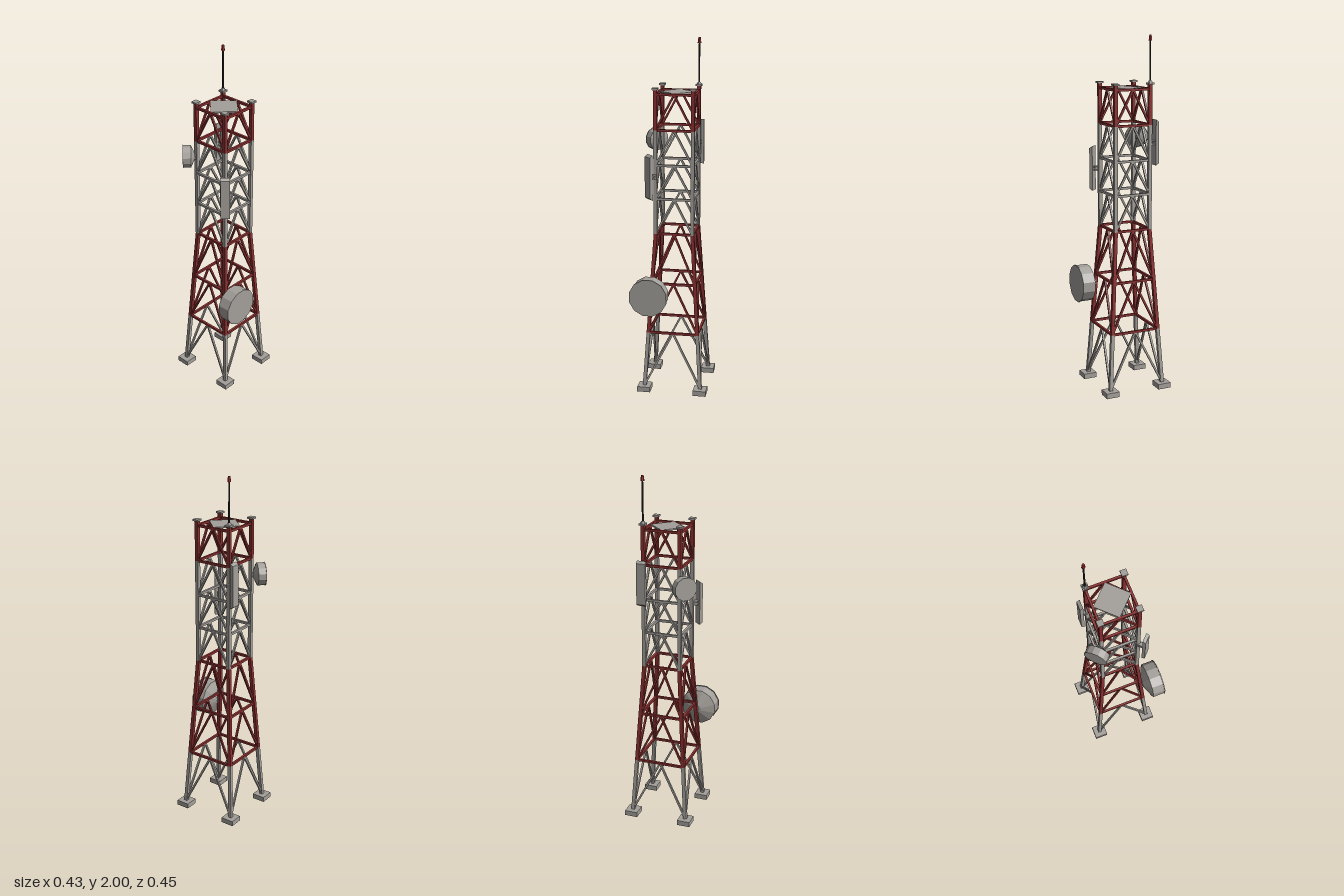
import * as THREE from 'three';

const mat = (name, color) => Object.assign(new THREE.MeshStandardMaterial({ color }), { name });

export function createModel() {
  const steel = mat('grey steel', 0xa39f9a);
  const red = mat('red paint', 0x8a3030);
  const dark = mat('dark mast', 0x2b2826);
  const beacon = mat('beacon red', 0x9c2a2a);

  const root = new THREE.Group();
  root.name = 'latticeTower';
  const tower = new THREE.Group();
  tower.name = 'towerFrame';
  tower.position.set(0.0165, 0, -0.023);
  root.add(tower);

  const V = (x, y, z) => new THREE.Vector3(x, y, z);
  const add = (parent, name, geo, material, x = 0, y = 0, z = 0) => {
    const m = new THREE.Mesh(geo, material);
    m.name = name;
    m.position.set(x, y, z);
    parent.add(m);
    return m;
  };
  const flat = (geo) => {
    const g = geo.index ? geo.toNonIndexed() : geo;
    g.computeVertexNormals();
    return g;
  };
  // Square bar between two points
  const bar = (parent, name, a, b, w, h, material, up) => {
    const m = add(parent, name, new THREE.BoxGeometry(w, h, a.distanceTo(b)), material);
    m.position.copy(a).add(b).multiplyScalar(0.5);
    m.quaternion.setFromRotationMatrix(new THREE.Matrix4().lookAt(b, a, up));
    return m;
  };

  // Half width of the tower: tapered below, straight above
  const half = (y) => (y < 0.93 ? 0.162 + (0.104 - 0.162) * (y - 0.03) / 0.9 : 0.104);
  const levels = [0.03, 0.35, 0.64, 0.93, 1.13, 1.32, 1.515, 1.71];
  const panelPaint = [steel, red, red, steel, steel, steel, red];
  const ringPaint = [null, red, red, red, steel, steel, red, red];
  const corners = [[1, 1], [1, -1], [-1, -1], [-1, 1]];
  const up = V(0, 1, 0);

  // Footings, leg sections and leg caps
  for (const [sx, sz] of corners) {
    add(tower, 'footing', new THREE.BoxGeometry(0.075, 0.03, 0.077), steel, sx * 0.162, 0.015, sz * 0.162);
    for (let i = 0; i < 7; i++) {
      const y0 = levels[i], y1 = i === 6 ? 1.736 : levels[i + 1];
      bar(tower, 'leg', V(sx * half(y0), y0, sz * half(y0)), V(sx * half(y1), y1, sz * half(y1)),
        0.02, 0.02, panelPaint[i], V(0, 0, 1));
    }
    add(tower, 'legCap', new THREE.BoxGeometry(0.034, 0.01, 0.034), steel, sx * 0.104, 1.74, sz * 0.104);
  }

  // Horizontal rings and inverted-V braces on each of the four faces
  for (let f = 0; f < 4; f++) {
    const [ax, az] = corners[f], [bx, bz] = corners[(f + 1) % 4];
    const nx = (ax + bx) / 2, nz = (az + bz) / 2;
    for (let i = 1; i < levels.length; i++) {
      const y0 = levels[i - 1], y1 = levels[i], h0 = half(y0), h1 = half(y1);
      bar(tower, 'crossbar', V(ax * h1, y1, az * h1), V(bx * h1, y1, bz * h1), 0.013, 0.013, ringPaint[i], up);
      const apex = V(nx * h1, y1, nz * h1);
      for (const [cx, cz] of [corners[f], corners[(f + 1) % 4]]) {
        bar(tower, 'diagonalBrace', V(cx * h0, y0, cz * h0), apex, 0.011, 0.011, panelPaint[i - 1], V(nx, 0, nz));
      }
    }
  }

  // Diamond platform between the midpoints of the top ring
  add(tower, 'topPlatform', new THREE.BoxGeometry(0.144, 0.008, 0.144), steel, 0, 1.712, 0).rotation.y = Math.PI / 4;

  // Lightning mast with beacon
  const mx = 0.104, mz = -0.104;
  add(tower, 'mastBase', flat(new THREE.CylinderGeometry(0.009, 0.016, 0.012, 6)), steel, mx, 1.75, mz);
  add(tower, 'mast', flat(new THREE.CylinderGeometry(0.0045, 0.0055, 0.225, 6)), dark, mx, 1.86, mz);
  add(tower, 'beacon', flat(new THREE.CylinderGeometry(0.007, 0.011, 0.03, 6)), beacon, mx, 1.985, mz);

  // Pair of bracket bars running from a leg out to a device (local +z is outward)
  const brackets = (group, from, to) => {
    for (const s of [-1, 1]) {
      add(group, 'bracket', new THREE.BoxGeometry(0.024, 0.008, to - from), steel, 0, s * 0.009, (from + to) / 2);
    }
  };
  const mount = (name, x, y, z, dx, dz) => {
    const g = new THREE.Group();
    g.name = name;
    g.position.set(x, y, z);
    g.rotation.y = Math.atan2(dx, dz);
    root.add(g);
    return g;
  };

  // Drum dish: conical back, straight shroud, thin front lip
  const dish = (name, x, y, z, dx, dz, r, reach) => {
    const g = mount(name, x, y, z, dx, dz);
    const pts = [[0, -1.02], [0.25, -1.02], [0.98, -0.7], [0.98, -0.045], [1.02, -0.045], [1.02, 0], [0, 0]]
      .map(([a, b]) => new THREE.Vector2(a * r, b * r));
    const geo = flat(new THREE.LatheGeometry(pts, 12, Math.PI / 12).rotateX(Math.PI / 2));
    add(g, 'dishDrum', geo, steel, 0, 0, reach);
    brackets(g, 0, reach - r * 0.95);
  };
  dish('largeDish', -0.108, 0.593, 0.103, 0, 1, 0.107, 0.12);
  dish('smallDish', -0.0875, 1.422, -0.127, -1, -1, 0.064, 0.077);

  // Panel antenna: tall plate with chamfered outer ends
  const panel = (name, x, y, z, dx, dz, reach) => {
    const g = mount(name, x, y, z, dx, dz);
    const H = 0.127, t = 0.009;
    const side = new THREE.Shape([[-t, -H], [t, -H + 0.012], [t, H - 0.012], [-t, H]]
      .map(([a, b]) => new THREE.Vector2(a, b)));
    const geo = new THREE.ExtrudeGeometry(side, { depth: 0.052, bevelEnabled: false });
    geo.translate(0, 0, -0.026).rotateY(-Math.PI / 2);
    add(g, 'panelPlate', geo, steel, 0, 0, reach);
    brackets(g, 0, reach);
  };
  panel('frontPanelAntenna', -0.0875, 1.257, 0.081, -1, 1, 0.045);
  panel('rearPanelAntenna', 0.1205, 1.418, -0.127, 0, -1, 0.035);

  return root;
}
